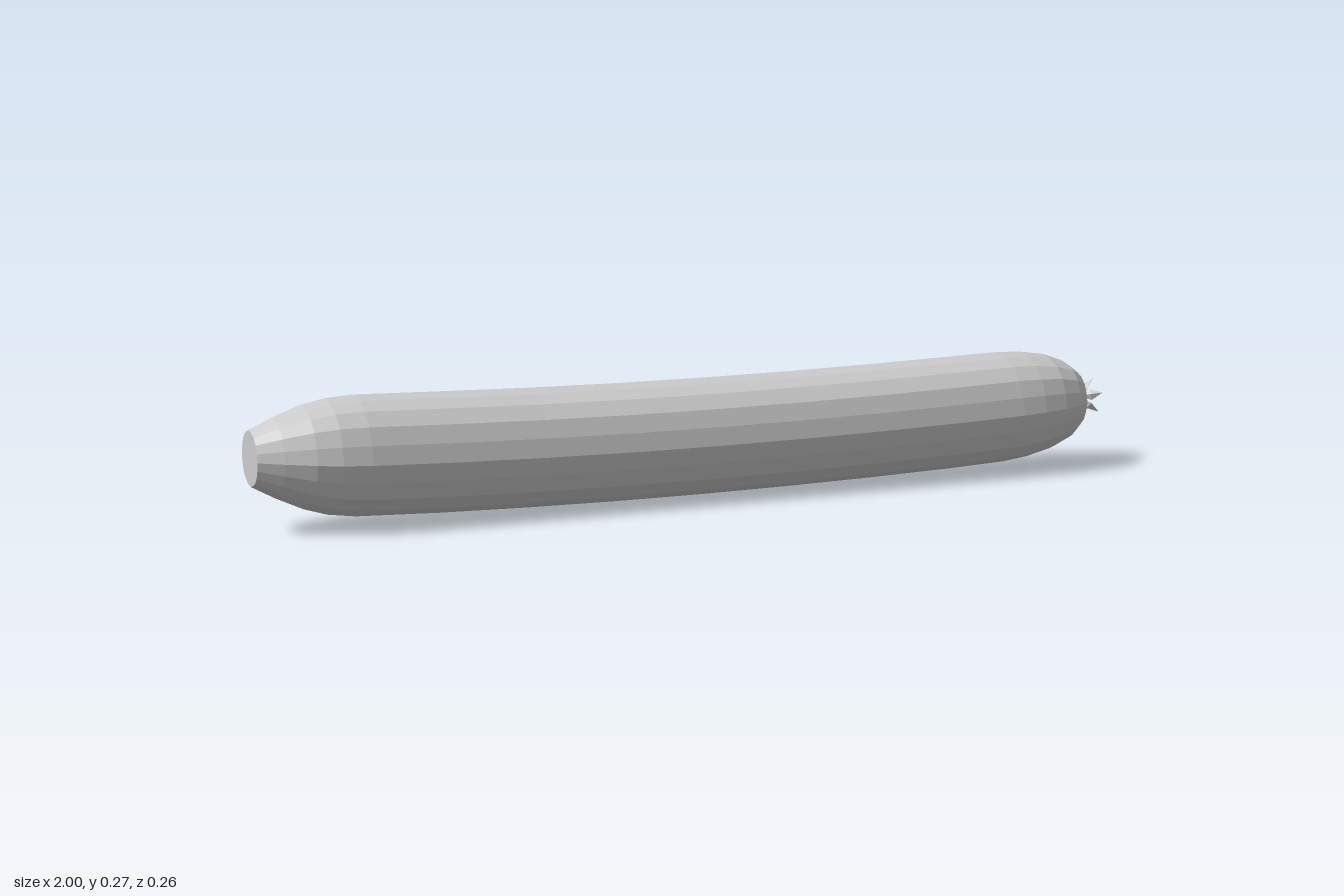
import * as THREE from 'three';

// Builds a closed or open skin from equal-length rings of points
function loft(rings, capStart, capEnd) {
  const n = rings[0].length, pos = [], idx = [];
  rings.forEach((ring) => ring.forEach((p) => pos.push(p.x, p.y, p.z)));
  for (let i = 0; i < rings.length - 1; i++) {
    for (let j = 0; j < n; j++) {
      const a = i * n + j, b = i * n + ((j + 1) % n);
      idx.push(a, b, a + n, b, b + n, a + n);
    }
  }
  const last = (rings.length - 1) * n;
  for (let j = 1; j < n - 1; j++) {
    if (capStart) idx.push(0, j + 1, j);
    if (capEnd) idx.push(last, last + j, last + j + 1);
  }
  const g = new THREE.BufferGeometry();
  g.setAttribute('position', new THREE.Float32BufferAttribute(pos, 3));
  g.setIndex(idx);
  const flat = g.toNonIndexed();
  flat.computeVertexNormals();
  return flat;
}

export function createModel() {
  const group = new THREE.Group();
  const grey = new THREE.MeshStandardMaterial({ color: 0xcccccc, flatShading: true, side: THREE.DoubleSide });
  grey.name = 'plain grey';

  // Body: stations along x with their radius, on a gently sagging centre line
  const stations = [
    [-1, 0.058], [-0.95, 0.083], [-0.89, 0.108], [-0.84, 0.121], [-0.78, 0.127],
    [-0.6, 0.128], [-0.4, 0.128], [-0.2, 0.128], [0, 0.128], [0.2, 0.128], [0.4, 0.128], [0.6, 0.128],
    [0.74, 0.127], [0.8, 0.122], [0.86, 0.111], [0.91, 0.092], [0.94, 0.069], [0.97, 0.01],
  ];
  const centre = (x) => 0.128 + (x < 0 ? 0.027 : 0.023) * x * x;
  const rings = stations.map(([x, r]) => {
    const ring = [];
    for (let j = 0; j < 20; j++) {
      const a = (j / 20) * Math.PI * 2;
      // Points between the main ridges sit slightly inward
      const k = [1, 4].includes(j % 5) ? 0.98 : 1;
      ring.push(new THREE.Vector3(x, centre(x) + Math.cos(a) * r * k, Math.sin(a) * r * k));
    }
    return ring;
  });
  const body = new THREE.Mesh(loft(rings, true, true), grey);
  body.name = 'body';
  group.add(body);

  // Blossom: five ridged, pointed petals flaring from the tip
  const blossom = new THREE.Group();
  blossom.name = 'blossom';
  blossom.position.set(0.965, 0.15, 0);
  const petalRings = [
    [0, 0.005, 0.003, 0.003], [0.014, 0.024, 0.013, 0.005], [0.033, 0.041, 0.0005, 0.0005],
  ].map(([x, y, w, t]) => [
    new THREE.Vector3(x + t, y - t, 0), new THREE.Vector3(x, y, w),
    new THREE.Vector3(x - t, y + t, 0), new THREE.Vector3(x, y, -w),
  ]);
  const petalGeometry = loft(petalRings.map((r) => r.reverse()), true, true);
  for (let i = 0; i < 5; i++) {
    const petal = new THREE.Mesh(petalGeometry, grey);
    petal.name = 'petal';
    petal.rotation.x = (i / 5) * Math.PI * 2;
    blossom.add(petal);
  }
  group.add(blossom);
  return group;
}
